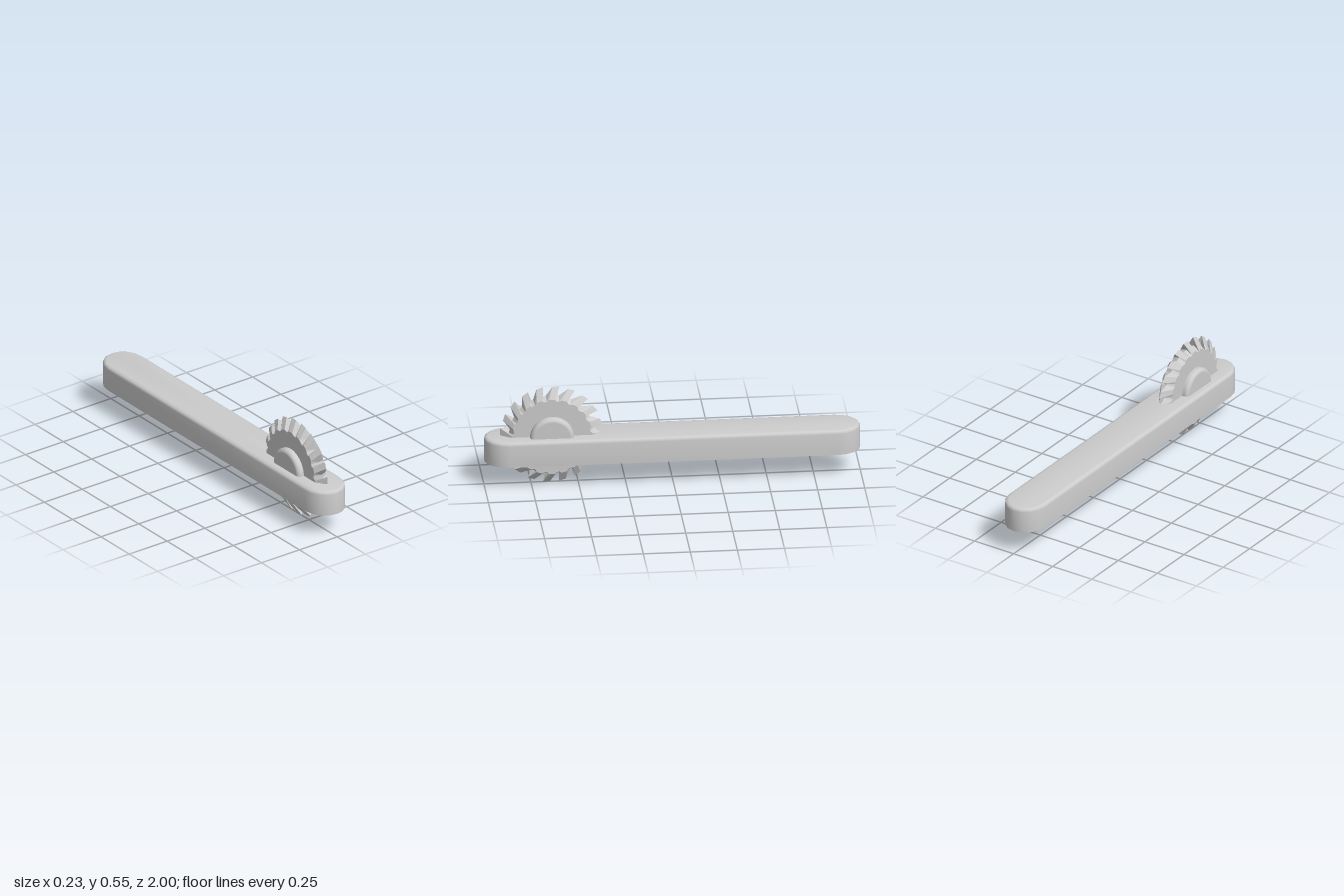
import * as THREE from 'three';
import { toCreasedNormals } from 'three/addons/utils/BufferGeometryUtils.js';

const material = new THREE.MeshStandardMaterial({ color: 0xcccccc });
const AXLE_Y = 0.276, AXLE_Z = 0.642;

function part(name, geometry, mat = material) {
  const mesh = new THREE.Mesh(geometry, mat);
  mesh.name = name;
  return mesh;
}

function geometryFrom(positions) {
  const geo = new THREE.BufferGeometry();
  geo.setAttribute('position', new THREE.Float32BufferAttribute(positions, 3));
  return geo;
}

// Long bar with round ends, a soft top edge and a sharp bottom edge
function barGeometry() {
  const segments = 8;
  const ring = (y, inset) => {
    const points = [];
    for (const end of [1, -1]) {
      for (let i = 0; i <= segments; i++) {
        const a = (i / segments) * Math.PI;
        points.push([
          end * (0.115 - inset) * Math.cos(a), y,
          end * (0.87 + (0.13 - inset) * Math.sin(a)),
        ]);
      }
    }
    return points;
  };
  const rings = [ring(0.14, 0)];
  for (let i = 0; i <= 4; i++) {
    const a = (i / 4) * Math.PI / 2;
    rings.push(ring(0.26 + 0.02 * Math.sin(a), 0.02 * (1 - Math.cos(a))));
  }
  const out = [], n = rings[0].length, top = rings[rings.length - 1];
  for (let i = 0; i < n; i++) {
    const j = (i + 1) % n;
    for (let k = 0; k + 1 < rings.length; k++) {
      const a = rings[k], b = rings[k + 1];
      out.push(...a[i], ...b[i], ...b[j], ...a[i], ...b[j], ...a[j]);
    }
    out.push(0, 0.28, 0, ...top[j], ...top[i]);
    out.push(0, 0.14, 0, ...rings[0][i], ...rings[0][j]);
  }
  return toCreasedNormals(geometryFrom(out), 0.7);
}

// Saw blade: flat sides, with raked teeth rising to a central ridge
function bladeGeometry() {
  const teeth = 20, pitch = (Math.PI * 2) / teeth, half = 0.04;
  // per tooth: ridge radius, ridge angle, side radius, side angle
  const tooth = [
    [0.225, 0, 0.205, 0],
    [0.271, 0.15, 0.215, 0.07],
    [0.276, 0.29, 0.215, 0.20],
    [0.225, 0.21, 0.205, 0.24],
  ];
  const at = (x, r, a) => [x, r * Math.cos(a), -r * Math.sin(a)];
  const stations = [];
  for (let i = 0; i < teeth; i++) {
    const base = i * pitch - 0.13;
    for (const [r, a, sr, sa] of tooth) {
      stations.push({
        ridge: at(0, r, base + a),
        side: (s) => at(s * half, sr, base + sa),
      });
    }
  }
  const out = [];
  stations.forEach((p, i) => {
    const q = stations[(i + 1) % stations.length];
    for (const s of [1, -1]) {
      const [a, b] = s > 0 ? [p, q] : [q, p];
      const sa = a.side(s), sb = b.side(s);
      out.push(...sa, ...sb, ...b.ridge, ...sa, ...b.ridge, ...a.ridge);
      out.push(s * half, 0, 0, ...sb, ...sa);
    }
  });
  const geo = geometryFrom(out);
  geo.computeVertexNormals();
  return geo;
}

// Hub: disc with rounded rims, turned around the x axis
function hubGeometry() {
  const r = 0.117, h = 0.075, round = 0.022;
  const profile = [new THREE.Vector2(0, -h)];
  for (const s of [-1, 1]) {
    for (let i = 0; i <= 5; i++) {
      const a = ((s < 0 ? i - 5 : i) / 5) * Math.PI / 2;
      profile.push(new THREE.Vector2(
        r - round + round * Math.cos(a),
        s * (h - round) + round * Math.sin(a)));
    }
  }
  profile.push(new THREE.Vector2(0, h));
  return new THREE.LatheGeometry(profile, 40).rotateZ(-Math.PI / 2);
}

export function createModel() {
  const model = new THREE.Group();
  model.name = 'sawBladeBar';
  model.add(part('bar', barGeometry()));

  const wheel = new THREE.Group();
  wheel.name = 'cuttingWheel';
  wheel.position.set(0, AXLE_Y, AXLE_Z);
  const flat = material.clone();
  flat.flatShading = true;
  wheel.add(part('toothedBlade', bladeGeometry(), flat));
  wheel.add(part('hub', hubGeometry()));
  model.add(wheel);
  return model;
}
